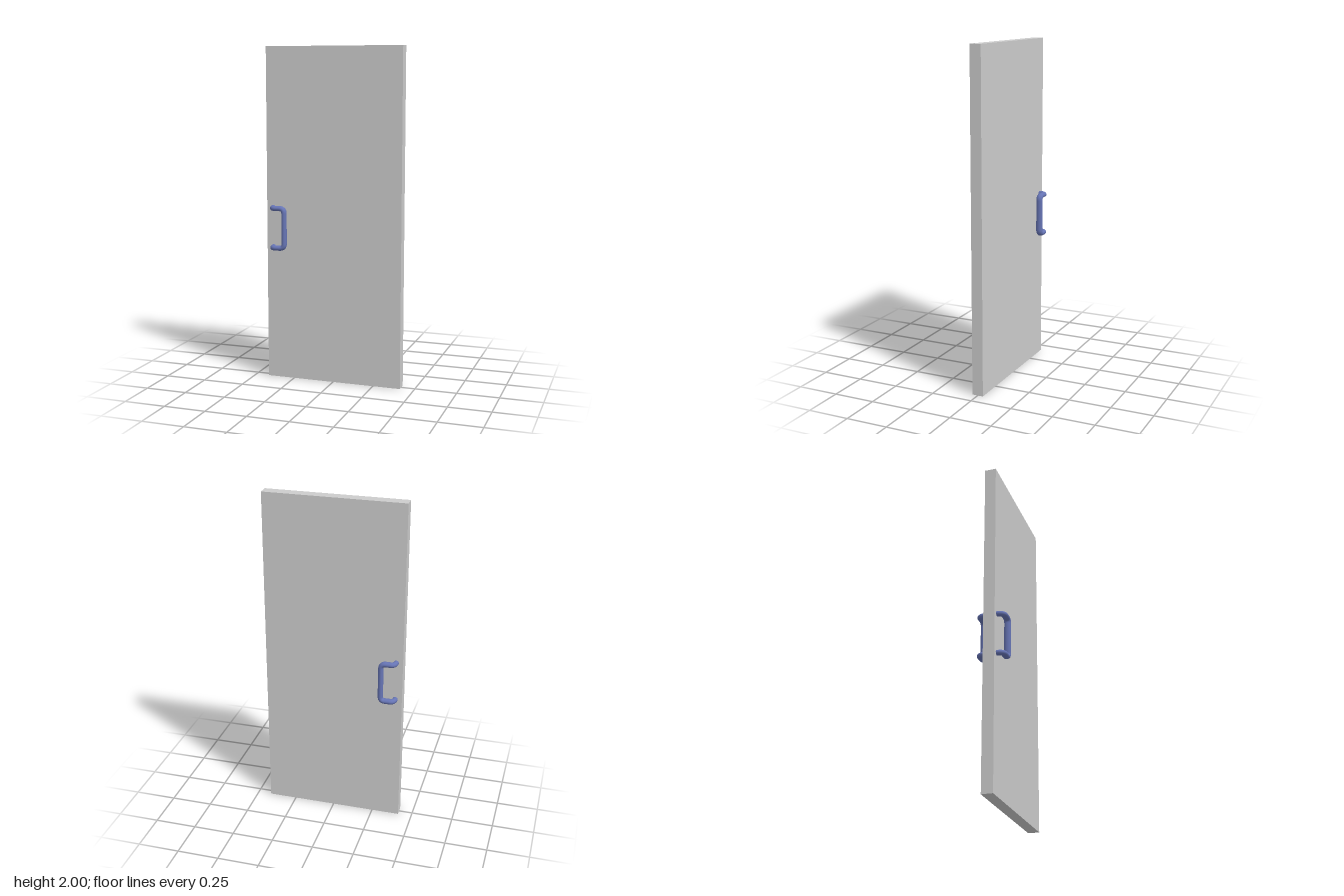
import * as THREE from 'three';

const V = (x, y, z) => new THREE.Vector3(x, y, z);

// Polyline whose inner corners are rounded with quadratic bends
function roundedPath(points, radius) {
  const path = new THREE.CurvePath();
  let start = points[0];
  for (let i = 1; i < points.length - 1; i++) {
    const corner = points[i];
    const a = corner.clone().add(points[i - 1].clone().sub(corner).setLength(radius));
    const b = corner.clone().add(points[i + 1].clone().sub(corner).setLength(radius));
    path.add(new THREE.LineCurve3(start, a));
    path.add(new THREE.QuadraticBezierCurve3(a, corner, b));
    start = b;
  }
  path.add(new THREE.LineCurve3(start, points[points.length - 1]));
  return path;
}

// Pull handle on one face: side is +1 for front, -1 for back
function makeHandle(side, material) {
  const stretch = 1.27; // bar is a little deeper than it is wide
  const top = 1.046, bottom = 0.807, legX = -0.377, gripX = -0.295;
  const root = side * 0.025 / stretch, out = side * 0.07 / stretch;
  const path = roundedPath([
    V(legX, top, root), V(legX, top, out), V(gripX, top, out),
    V(gripX, bottom, out), V(legX, bottom, out), V(legX, bottom, root),
  ], 0.028);
  const geometry = new THREE.TubeGeometry(path, 160, 0.0155, 20, false);
  geometry.scale(1, 1, stretch);
  geometry.computeVertexNormals();
  return new THREE.Mesh(geometry, material);
}

export function createModel() {
  const model = new THREE.Group();
  model.name = 'door';

  // Door panel
  const panel = new THREE.Mesh(
    new THREE.BoxGeometry(0.834, 2, 0.067),
    new THREE.MeshStandardMaterial({ color: 0xcccccc })
  );
  panel.name = 'doorPanel';
  panel.position.y = 1;
  model.add(panel);

  // Matching handles on both faces
  const blue = new THREE.MeshStandardMaterial({ color: 0x6674b4 });
  for (const [name, side] of [['frontHandle', 1], ['backHandle', -1]]) {
    const handle = makeHandle(side, blue);
    handle.name = name;
    model.add(handle);
  }
  return model;
}
